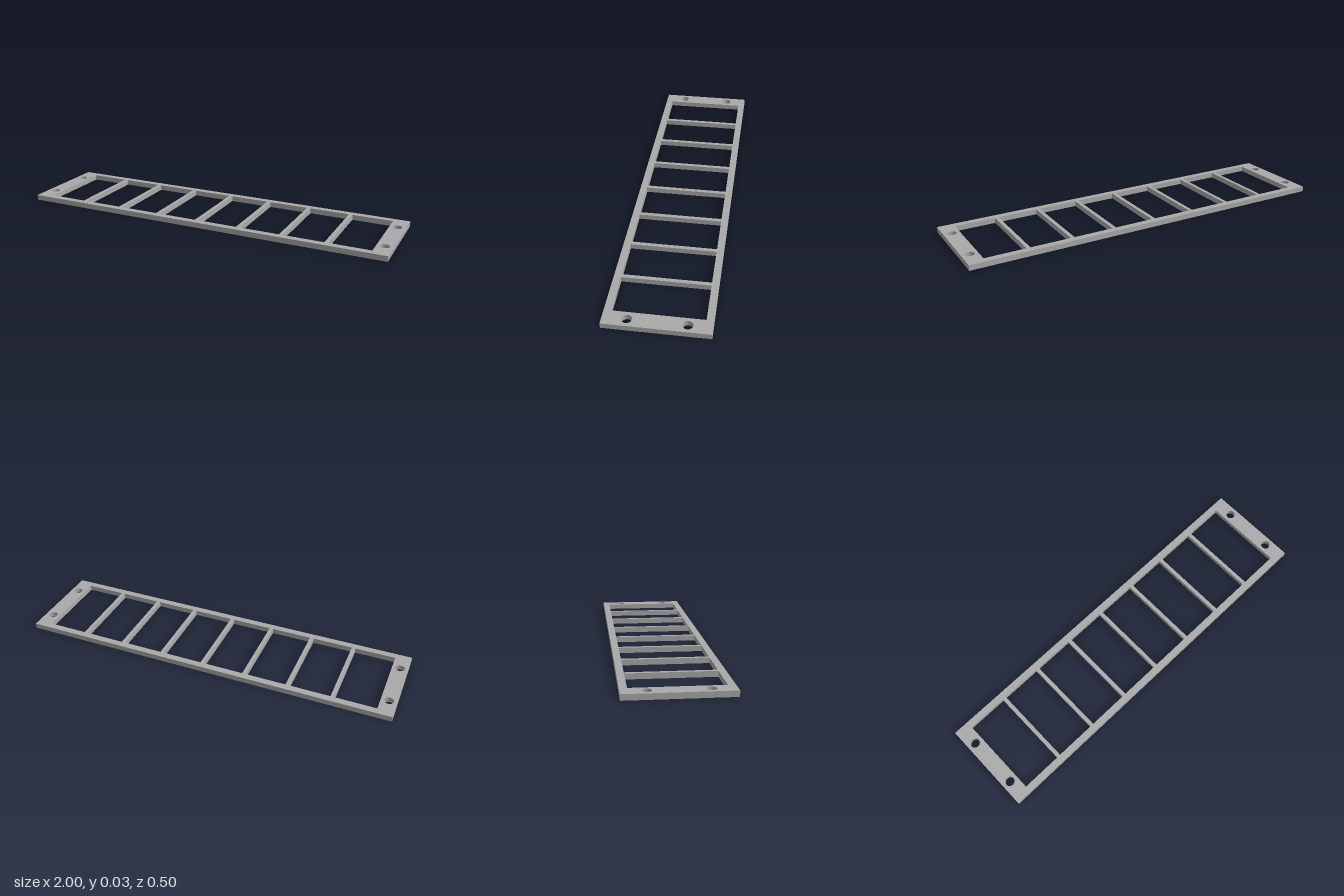
import * as THREE from 'three';

const HALF_X = 1, HALF_Z = 0.248, HEIGHT = 0.028;
const OPEN_X = 0.918, OPEN_Z = 0.213; // half extents of the row of openings
const COUNT = 8, BAR = 0.02;          // openings and the bars between them
const HOLE_X = 0.959, HOLE_Z = 0.136, HOLE_R = 0.024;

function rect(target, x0, x1, y0, y1) {
  target.moveTo(x0, y0);
  target.lineTo(x1, y0);
  target.lineTo(x1, y1);
  target.lineTo(x0, y1);
  target.closePath();
  return target;
}

export function createModel() {
  const group = new THREE.Group();
  group.name = 'slottedPanel';
  const grey = new THREE.MeshStandardMaterial({ color: 0xaaaaaa });
  grey.name = 'grey';

  // Outer plate
  const plate = rect(new THREE.Shape(), -HALF_X, HALF_X, -HALF_Z, HALF_Z);

  // Row of equal rectangular openings, leaving thin cross bars
  const width = (2 * OPEN_X - (COUNT - 1) * BAR) / COUNT;
  for (let i = 0; i < COUNT; i++) {
    const x = -OPEN_X + i * (width + BAR);
    plate.holes.push(rect(new THREE.Path(), x, x + width, -OPEN_Z, OPEN_Z));
  }

  // Two round mounting holes at each end
  for (const sx of [-1, 1]) {
    for (const sz of [-1, 1]) {
      const hole = new THREE.Path();
      hole.absarc(sx * HOLE_X, sz * HOLE_Z, HOLE_R, 0, Math.PI * 2, true);
      plate.holes.push(hole);
    }
  }

  const geometry = new THREE.ExtrudeGeometry(plate, {
    depth: HEIGHT, bevelEnabled: false, curveSegments: 32,
  });
  geometry.rotateX(-Math.PI / 2); // lay flat, standing on y = 0
  const frame = new THREE.Mesh(geometry, grey);
  frame.name = 'panelFrame';
  group.add(frame);
  return group;
}
